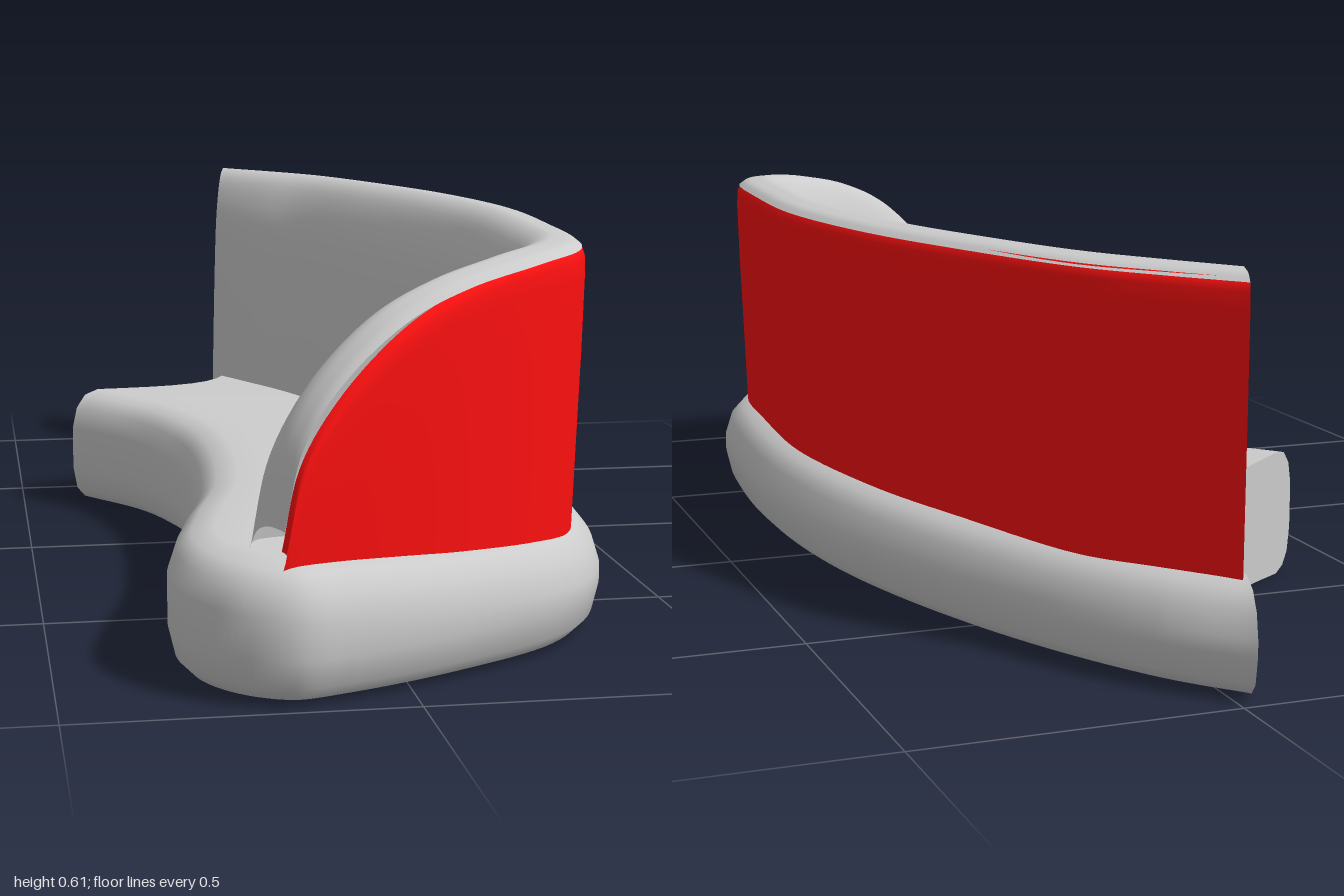
import * as THREE from 'three';
import { mergeVertices } from 'three/addons/utils/BufferGeometryUtils.js';

const V = (x, y, z) => new THREE.Vector3(x, y, z);
const spline = (pts) => new THREE.CatmullRomCurve3(pts);

// Height of the seat top: low at the outer rim, rising towards the inner lip
function seatTop(x, z) {
  const r = Math.hypot(x + 1.524, z - 0.2);
  return 0.165 + 0.053 * THREE.MathUtils.clamp((1.924 - r) / 0.65, 0, 1);
}

// Smooth surface through rows of points; closed joins the last column to the first
function loft(rows, closed) {
  const K = rows[0].length, pos = [], idx = [];
  rows.forEach((row) => row.forEach((p) => pos.push(p.x, p.y, p.z)));
  for (let i = 0; i < rows.length - 1; i++) {
    for (let k = 0; k < (closed ? K : K - 1); k++) {
      const n = (k + 1) % K, a = i * K + k, b = i * K + n, c = a + K, d = b + K;
      idx.push(a, b, c, b, d, c);
    }
  }
  return toGeometry(pos, idx);
}

function toGeometry(pos, idx) {
  let g = new THREE.BufferGeometry();
  g.setAttribute('position', new THREE.Float32BufferAttribute(pos, 3));
  g.setIndex(idx);
  g = mergeVertices(g, 1e-4);
  g.computeVertexNormals();
  return g;
}

// Cross-sections of the seat, from the cut end round to the rounded end
function seatRows() {
  const outline = spline([
    [-0.02, -1], [0.085, -0.88], [0.23, -0.61], [0.355, -0.23], [0.4, 0.1], [0.39, 0.42],
    [0.352, 0.65], [0.27, 0.78], [0.085, 0.9], [-0.085, 0.975], [-0.175, 0.997],
    [-0.255, 0.96], [-0.315, 0.88], [-0.332, 0.79], [-0.3, 0.62], [-0.258, 0.45],
    [-0.235, 0.185], [-0.243, 0], [-0.265, -0.1], [-0.31, -0.22], [-0.405, -0.355],
  ].map(([x, z]) => V(x, 0, z)));
  const M = 80, N = 2 * M, ACROSS = 9;
  // Inset, height above floor or (negative) below the top
  const edge = [[0.06, 0], [0.03, 0.008], [0.01, 0.028], [0, 0.07],
    [0, -0.07], [0.012, -0.032], [0.035, -0.009], [0.07, 0]];
  const cutA = V(-0.26, 0, 1.08), cutB = V(0.75, 0, -0.68);

  // Point on the outline moved inwards, sliding along the cut near both ends
  const inset = (i, d) => {
    const t = outline.getTangent(i / N), n = V(-t.z, 0, t.x).normalize();
    const w = Math.max(0, 1 - Math.min(i, N - i) / 6);
    n.lerp(i < M ? cutA : cutB, w);
    return outline.getPoint(i / N).addScaledVector(n, d);
  };
  const edgePoint = (i, j) => {
    const p = inset(i, edge[j][0]);
    p.y = j < 4 ? edge[j][1] : seatTop(p.x, p.z) + edge[j][1];
    return p;
  };

  const rows = [];
  for (let i = 0; i <= M; i++) {
    const outer = edge.map((_, j) => edgePoint(i, j));
    const inner = edge.map((_, j) => edgePoint(N - i, j));
    const bow = (1 - i / M) ** 3;
    const span = (j, isTop) => Array.from({ length: ACROSS }, (_, s) => {
      const t = (s + 1) / (ACROSS + 1), p = outer[j].clone().lerp(inner[j], t);
      p.x += 0.08 * bow * Math.sin(Math.PI * t);
      p.z += 0.055 * bow * Math.sin(Math.PI * t);
      p.y = isTop ? seatTop(p.x, p.z) : 0;
      return p;
    });
    rows.push([
      ...outer.slice(4), ...span(7, true), ...inner.slice(4).reverse(),
      ...inner.slice(0, 4).reverse(), ...span(0, false).reverse(), ...outer.slice(0, 4),
    ]);
  }
  return rows;
}

// Flat face closing the cut end of the seat
function cutFace(row) {
  const K = row.length, pos = [], idx = [];
  row.forEach((p) => pos.push(p.x, p.y, p.z));
  for (let k = 0; k < K / 2 - 1; k++) {
    const u = k, l = K - 1 - k;
    idx.push(u, l, u + 1, u + 1, l, l - 1);
  }
  return toGeometry(pos, idx);
}

export function createModel() {
  const group = new THREE.Group();
  const grey = new THREE.MeshStandardMaterial({ color: 0xcccccc });
  const greySheet = new THREE.MeshStandardMaterial({ color: 0xcccccc, side: THREE.DoubleSide });
  const red = new THREE.MeshStandardMaterial({ color: 0xff1010, side: THREE.DoubleSide });
  const add = (name, geometry, material) => {
    const mesh = new THREE.Mesh(geometry, material);
    mesh.name = name;
    group.add(mesh);
  };

  // Seat
  const seat = seatRows();
  add('seat', loft(seat, true), grey);
  add('seatCutFace', cutFace(seat[0]), grey);

  // Backrest guide lines: outer top edge [x, height, z] and inner foot [x, z]
  const stations = [
    [-0.026, 0.6, -0.94, -0.085, -0.75], [0.06, 0.6, -0.83, -0.03, -0.63],
    [0.14, 0.6, -0.71, 0.03, -0.5], [0.24, 0.6, -0.45, 0.085, -0.33],
    [0.31, 0.6, -0.21, 0.127, -0.17], [0.355, 0.6, 0.1, 0.175, 0.1],
    [0.345, 0.6, 0.4, 0.175, 0.36], [0.323, 0.6, 0.62, 0.155, 0.58],
    [0.29, 0.597, 0.705, 0.12, 0.65], [0.22, 0.588, 0.77, 0.05, 0.71],
    [0.1, 0.56, 0.84, -0.03, 0.76], [0, 0.51, 0.885, -0.1, 0.785],
    [-0.1, 0.42, 0.925, -0.17, 0.805], [-0.16, 0.33, 0.95, -0.21, 0.83],
    [-0.187, 0.215, 0.96, -0.225, 0.875],
  ];
  const outer = spline(stations.map(([x, y, z]) => V(x, y, z)));
  const inner = spline(stations.map((s) => V(s[3], 0, s[4])));

  // Cushion section: fraction across, fraction of height
  const arch = spline([[0, 0.97], [0.08, 0.992], [0.2, 1], [0.34, 1], [0.5, 0.96], [0.65, 0.86],
    [0.76, 0.73], [0.87, 0.45], [0.95, 0.17], [1, -0.03]].map(([t, h]) => V(t, h, 0))).getPoints(28);

  const cushionRows = [], panelRows = [];
  for (let i = 0; i <= 100; i++) {
    const o = outer.getPoint(i / 100), n = inner.getPoint(i / 100);
    const crown = 0.008 + 0.022 * THREE.MathUtils.smoothstep(i / 100, 0.65, 0.9);
    cushionRows.push(arch.map(({ x: t, y: h }) => {
      const x = THREE.MathUtils.lerp(o.x, n.x, t), z = THREE.MathUtils.lerp(o.z, n.z, t);
      const base = seatTop(x, z);
      return V(x, base + (o.y + crown - base) * h, z);
    }));

    // Panel section: leans outwards, then rolls in at its top edge
    const out = V(o.x - n.x, 0, o.z - n.z).normalize();
    const foot = seatTop(o.x, o.z) - 0.02;
    panelRows.push([[-0.009, 0], [-0.004, 0.3], [0.002, 0.65], [0.005, 0.9], [0.004, 0.96],
      [0, 0.985], [-0.008, 1]].map(([d, h]) => {
      const p = o.clone().addScaledVector(out, d);
      p.y = foot + (o.y - foot) * h;
      return p;
    }));
  }
  add('backCushion', loft(cushionRows, false), greySheet);
  add('backPanel', loft(panelRows, false), red);
  return group;
}
